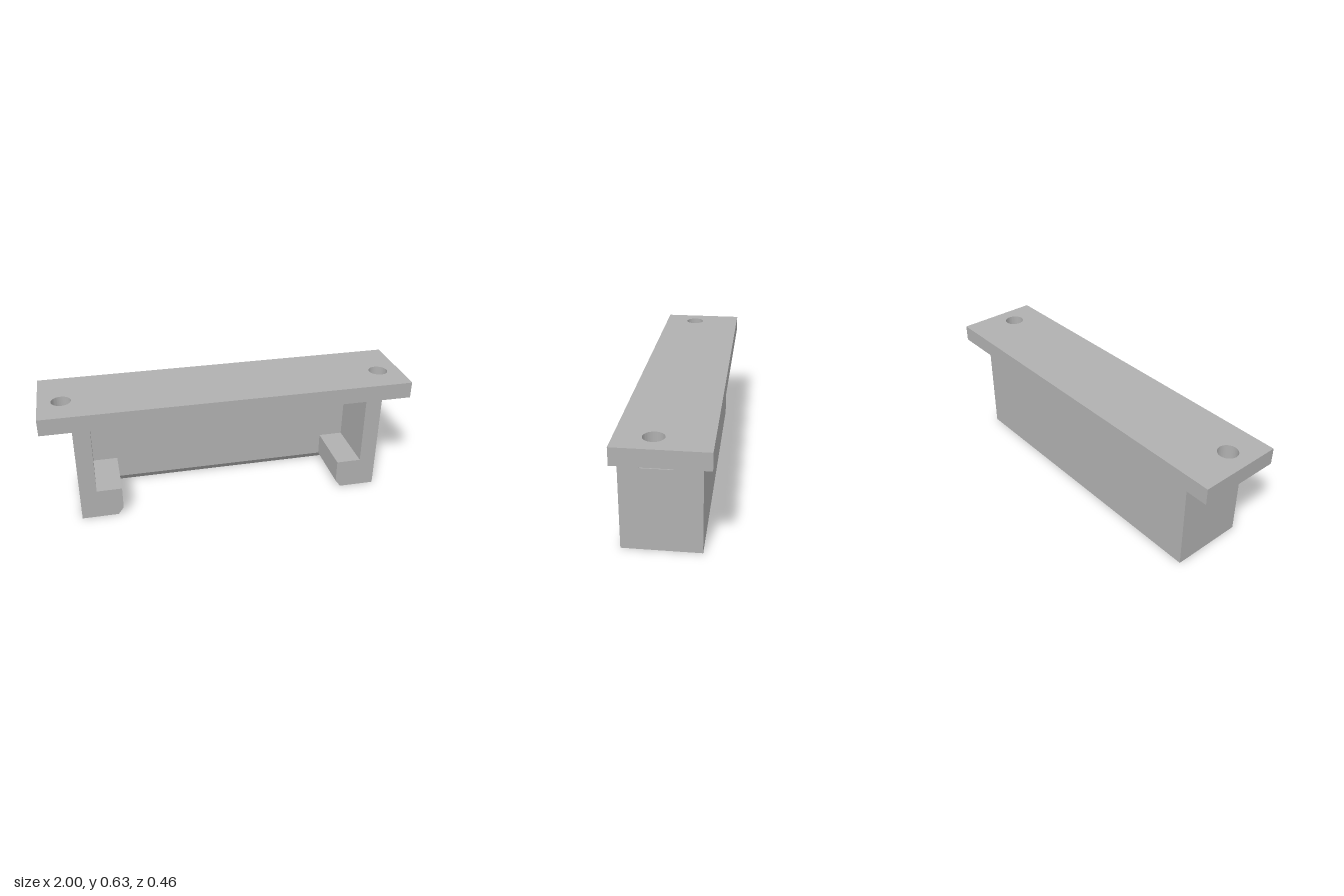
import * as THREE from 'three';
import { toCreasedNormals } from 'three/addons/utils/BufferGeometryUtils.js';

const HALF_WIDTH = 0.835, FRONT = 0.228, BACK = -0.175, POCKET_BACK = -0.085;
const HOLE_X = 0.877, HOLE_Z = 0.045, HOLE_R = 0.052, NOTCH_R = 0.091;

// Extrudes a plan shape (x, -z) upwards from y0 to y1
function slab(shape, y0, y1) {
  const g = new THREE.ExtrudeGeometry(shape, { depth: y1 - y0, bevelEnabled: false, curveSegments: 32 });
  g.rotateX(-Math.PI / 2);
  g.translate(0, y0, 0);
  return g;
}

// U-shaped plan: back wall and two side walls, optionally notched for screw heads
function housingPlan(inner, notched) {
  const s = new THREE.Shape();
  const a = Math.acos((HOLE_X - HALF_WIDTH) / NOTCH_R);
  s.moveTo(-HALF_WIDTH, -FRONT);
  s.lineTo(-inner, -FRONT);
  s.lineTo(-inner, -POCKET_BACK);
  s.lineTo(inner, -POCKET_BACK);
  s.lineTo(inner, -FRONT);
  s.lineTo(HALF_WIDTH, -FRONT);
  if (notched) s.absarc(HOLE_X, -HOLE_Z, NOTCH_R, Math.PI + a, Math.PI - a, true);
  s.lineTo(HALF_WIDTH, -BACK);
  s.lineTo(-HALF_WIDTH, -BACK);
  if (notched) s.absarc(-HOLE_X, -HOLE_Z, NOTCH_R, a, -a, true);
  s.closePath();
  return s;
}

export function createModel() {
  const model = new THREE.Group();
  const grey = new THREE.MeshStandardMaterial({ color: 0xb0b0b0 });
  grey.name = 'grey';

  const add = (name, geometry) => {
    const mesh = new THREE.Mesh(toCreasedNormals(geometry, 0.5), grey);
    mesh.name = name;
    model.add(mesh);
  };

  // Mounting plate with two screw holes
  const plate = new THREE.Shape();
  plate.moveTo(-1, -FRONT);
  plate.lineTo(1, -FRONT);
  plate.lineTo(1, FRONT);
  plate.lineTo(-1, FRONT);
  plate.closePath();
  for (const side of [-1, 1]) {
    const hole = new THREE.Path();
    hole.absarc(side * HOLE_X, -HOLE_Z, HOLE_R, 0, Math.PI * 2, true);
    plate.holes.push(hole);
  }
  add('mountingPlate', slab(plate, 0.54, 0.63));

  // Upper walls, notched below the screw holes
  add('notchedWalls', slab(housingPlan(0.745, true), 0.445, 0.54));
  add('walls', slab(housingPlan(0.745, false), 0.165, 0.445));

  // Inward ledges at the foot of the side walls
  add('ledges', slab(housingPlan(0.61, false), 0.04, 0.165));

  // Bottom rim with the inner edge chamfered outwards
  const rim = slab(housingPlan(0.61, false), 0, 0.04);
  const p = rim.attributes.position;
  for (let i = 0; i < p.count; i++) {
    if (p.getY(i) > 0.001 || Math.abs(p.getX(i)) > 0.62) continue;
    p.setX(i, Math.sign(p.getX(i)) * 0.64);
    if (p.getZ(i) < 0) p.setZ(i, POCKET_BACK - 0.03);
  }
  add('chamferedRim', rim);

  return model;
}
